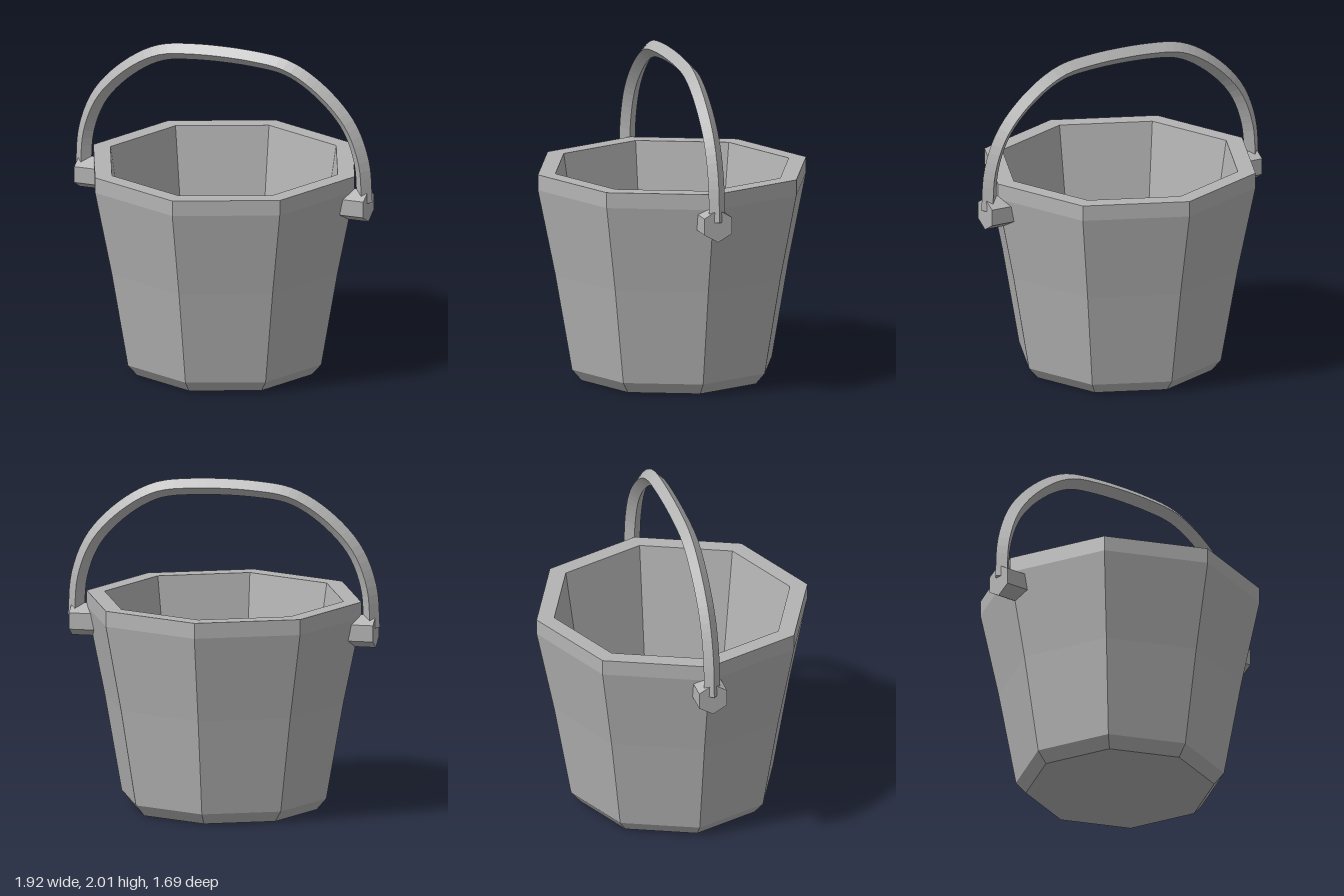
import * as THREE from 'three';

export function createModel() {
  const group = new THREE.Group();
  const metal = new THREE.MeshStandardMaterial({ color: 0xb4b4b4, flatShading: true });
  metal.name = 'grey metal';

  const add = (name, geometry) => {
    const mesh = new THREE.Mesh(geometry, metal);
    mesh.name = name;
    group.add(mesh);
    return mesh;
  };

  // Octagonal pail: underside, outer wall, rim, inner wall, floor
  const profile = [
    [0, 0], [0.57, 0], [0.63, 0.07], [0.735, 0.66], [0.845, 1.19],
    [0.845, 1.285], [0.735, 1.285], [0.55, 0.08], [0, 0.08],
  ].map(([r, y]) => new THREE.Vector2(r, y));
  add('bucket', new THREE.LatheGeometry(profile, 8));

  // Arched handle with a diamond cross-section
  const half = [[0.91, 1.13], [0.89, 1.38], [0.805, 1.6], [0.63, 1.79], [0.42, 1.915], [0.2, 1.95]];
  const points = [
    ...half.map(([x, y]) => new THREE.Vector3(-x, y, 0)),
    ...half.reverse().map(([x, y]) => new THREE.Vector3(x, y, 0)),
  ];
  const curve = new THREE.CatmullRomCurve3(points);
  add('handle', new THREE.TubeGeometry(curve, 56, 0.05, 4));

  for (const side of [-1, 1]) {
    const label = side > 0 ? 'left' : 'right';

    // Flat end closing the handle
    const end = new THREE.CircleGeometry(0.05, 4).rotateX(Math.PI / 2).rotateZ(side * 0.07);
    add(label + 'HandleEnd', end).position.set(side * 0.91, 1.13, 0);

    // Hexagonal lug fixed to the wall, with a corner pointing up
    const lug = new THREE.CylinderGeometry(0.1, 0.1, 0.185, 6)
      .rotateY(Math.PI / 2).rotateZ(Math.PI / 2);
    // Turn the hexagon about its axis so that corners lie at the top and bottom
    lug.computeBoundingBox();
    if (lug.boundingBox.max.y < 0.095) lug.rotateX(Math.PI / 6);
    add(label + 'Lug', lug).position.set(side * 0.8425, 1.11, 0);
  }

  return group;
}
